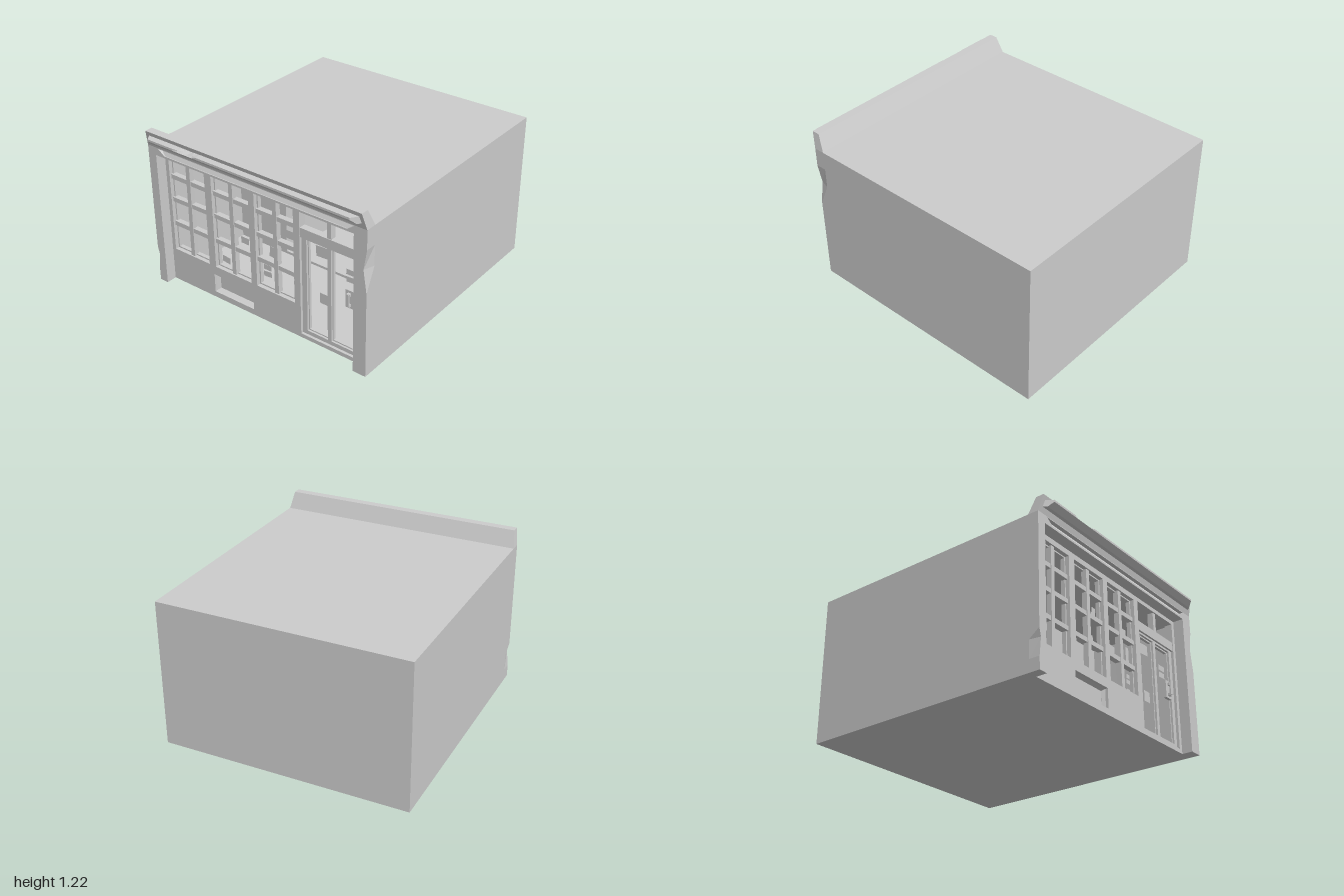
import * as THREE from 'three';

export function createModel() {
  const model = new THREE.Group();
  const mat = new THREE.MeshStandardMaterial({ color: 0xcccccc, flatShading: true });
  const thin = new THREE.MeshStandardMaterial({ color: 0xcccccc, flatShading: true, side: THREE.DoubleSide });

  const add = (name, geo, material = mat, parent = model) => {
    const mesh = new THREE.Mesh(geo, material);
    mesh.name = name;
    parent.add(mesh);
    return mesh;
  };
  const box = (name, x0, x1, y0, y1, z0, z1, parent = model) => {
    const mesh = add(name, new THREE.BoxGeometry(x1 - x0, y1 - y0, z1 - z0), mat, parent);
    mesh.position.set((x0 + x1) / 2, (y0 + y1) / 2, (z0 + z1) / 2);
    return mesh;
  };
  const poly = (pts) => pts.map(([x, y]) => new THREE.Vector2(x, y));
  const rect = (x0, x1, y0, y1) => poly([[x0, y0], [x1, y0], [x1, y1], [x0, y1]]);
  // flat plate between two depths, with holes
  const plate = (outline, holes, z0, z1) => {
    const shape = new THREE.Shape(outline);
    holes.forEach((h) => shape.holes.push(new THREE.Path(h)));
    return new THREE.ExtrudeGeometry(shape, { depth: z1 - z0, bevelEnabled: false }).translate(0, 0, z0);
  };
  // moves every vertex by a rule
  const warp = (geo, rule) => {
    const p = geo.attributes.position;
    const v = new THREE.Vector3();
    for (let i = 0; i < p.count; i++) {
      rule(v.fromBufferAttribute(p, i));
      p.setXYZ(i, v.x, v.y, v.z);
    }
    geo.computeVertexNormals();
    return geo;
  };
  // box with its front face left out
  const openBox = (x0, x1, y0, y1, z0, z1) => {
    const g = new THREE.BoxGeometry(x1 - x0, y1 - y0, z1 - z0);
    g.translate((x0 + x1) / 2, (y0 + y1) / 2, (z0 + z1) / 2);
    const idx = Array.from(g.index.array);
    idx.splice(24, 6);
    g.setIndex(idx);
    g.clearGroups();
    return g;
  };
  // (z, y) profile swept along x, unit half width
  const sweepX = (pts, steps = 1) =>
    new THREE.ExtrudeGeometry(new THREE.Shape(poly(pts)), { depth: 2, steps, bevelEnabled: false })
      .translate(0, 0, -1).rotateY(-Math.PI / 2);

  // Building shell and the room behind the shop front
  add('buildingBody', openBox(-0.92, 0.92, 0, 1.1, -1, 0.85), thin);
  const room = new THREE.Group();
  room.name = 'room';
  model.add(room);
  const zb = 0.12;
  const roomGeo = openBox(-0.84, 0.84, 0.01, 1.03, zb, 0.79);
  const idx = Array.from(roomGeo.index.array);
  idx.splice(24, 6);
  roomGeo.setIndex(idx);
  add('roomWalls', roomGeo, thin, room);
  add('roomBackWall', plate(rect(-0.84, 0.84, 0.01, 1.03), [rect(-0.4, 0.32, 0.03, 0.97)], zb - 0.01, zb), mat, room);
  add('backAlcove', warp(openBox(-0.4, 0.32, 0.03, 0.97, -0.4, zb - 0.01), (v) => {
    if (v.z > -0.3) return;
    v.x += v.x < 0 ? 0.06 : -0.03;
    if (v.y > 0.5) v.y -= 0.06;
  }), thin, room);

  // Outer surround: pilasters and fascia, chipped at both outer edges
  const outline = poly([
    [-0.92, 0], [-0.85, 0], [-0.85, 1.04], [0.82, 1.04], [0.82, 0], [0.92, 0],
    [0.92, 0.64], [0.895, 0.81], [0.92, 0.96], [0.92, 1.1],
    [-0.92, 1.1], [-0.92, 0.28], [-0.905, 0.22], [-0.92, 0.09],
  ]);
  const groove = poly([[-0.77, 1.055], [0.77, 1.055], [0.825, 1.095], [-0.825, 1.095]]);
  add('surround', warp(plate(outline, [groove], 0.85, 0.93), (v) => {
    if (v.z < 0.9 && Math.abs(v.x) > 0.86) v.x = Math.sign(v.x) * 0.92;
  }));
  add('fasciaGrooveBack', warp(new THREE.BoxGeometry(1.66, 0.044, 0.04).translate(0, 1.075, 0.88), (v) => {
    if (v.z > 0.88 && v.y < 1.07) v.z += 0.025;
  }));

  // Parapet and projecting cornice lip
  add('parapet', warp(sweepX([[0.85, 1.1], [0.93, 1.1], [0.96, 1.22], [0.9, 1.22]]), (v) => {
    v.x *= v.y > 1.15 ? 0.9 : 0.92;
  }));
  add('corniceLip', warp(sweepX([[0.935, 1.14], [0.965, 1.14], [1, 1.175], [1, 1.19], [0.945, 1.19]], 38), (v) => {
    const side = v.x;
    v.x *= 0.87 - (v.z - 0.96) * 0.75;
    const chip = Math.max(0, 1 - Math.abs(v.x + 0.5) / 0.1);
    if (Math.abs(side) < 0.99 && v.z > 0.99 && v.y > 1.18) {
      v.z -= 0.035 * chip;
      v.y -= 0.01 * chip;
    }
  }));

  // Shop front wall with window, door and panel openings
  const windows = [[-0.82, -0.49], [-0.43, -0.1], [-0.05, 0.28]];
  const front = 0.85;
  add('shopFront', plate(rect(-0.85, 0.82, 0, 1.04), [
    ...windows.map(([a, b]) => rect(a, b, 0.26, 1.0)),
    rect(0.33, 0.79, 0.03, 1.01),
    rect(-0.45, -0.09, 0.045, 0.19),
  ], 0.79, front));

  // Slightly crooked glazing bars and a bevelled rim in each window
  windows.forEach(([a, b], w) => {
    const g = new THREE.Group();
    g.name = 'window' + (w + 1);
    model.add(g);
    const mid = (a + b) / 2;
    box('mullion', mid - 0.017, mid + 0.017, 0.26, 1.0, 0.8, 0.84, g).rotation.z = 0.008 * (w - 1);
    [0.47, 0.665, 0.845].forEach((y, i) => {
      box('glazingBar', a, b, y - 0.017, y + 0.017, 0.795, 0.835, g).rotation.z = 0.012 * Math.sin(w * 2.3 + i * 1.9);
    });
    add('windowRim', plate(rect(a, b, 0.26, 1.0), [rect(a + 0.01, b - 0.01, 0.27, 0.99)], 0.79, 0.82), mat, g);
  });

  // Sunken panel under the middle window
  box('panelBack', -0.45, -0.09, 0.045, 0.19, 0.79, 0.805);
  add('panelRim', warp(plate(rect(-0.45, -0.09, 0.045, 0.19), [rect(-0.435, -0.105, 0.058, 0.177)], 0.8, 0.83), (v) => {
    if (v.x > -0.44 && v.x < -0.1) v.z = Math.min(v.z, 0.806);
  }));

  // Door with two long lights, transom window above and a pull handle
  const door = new THREE.Group();
  door.name = 'door';
  model.add(door);
  add('doorLeaf', plate(rect(0.33, 0.79, 0.03, 0.79), [
    rect(0.37, 0.54, 0.06, 0.775), rect(0.57, 0.755, 0.06, 0.775),
  ], 0.795, 0.83), mat, door);
  add('doorLightRims', plate(rect(0.37, 0.755, 0.06, 0.775), [
    rect(0.378, 0.532, 0.068, 0.765), rect(0.578, 0.747, 0.068, 0.765),
  ], 0.795, 0.815), mat, door);
  box('transomBar', 0.33, 0.79, 0.79, 0.86, 0.795, 0.845, door);
  box('transomMullion', 0.547, 0.58, 0.86, 1.01, 0.795, 0.84, door);
  box('handlePlate', 0.685, 0.752, 0.395, 0.53, 0.81, 0.832, door);
  box('handleGrip', 0.71, 0.728, 0.42, 0.51, 0.845, 0.855, door);
  [0.42, 0.5].forEach((y) => box('handlePost', 0.708, 0.73, y - 0.008, y + 0.012, 0.83, 0.85, door));

  // Paper notices stuck inside the glass: x, y, width, height, tilt
  [
    [0.47, 0.7, 0.1, 0.08, 0.06], [0.7, 0.635, 0.075, 0.04, 0], [0.7, 0.58, 0.07, 0.04, 0.04],
    [0.485, 0.34, 0.07, 0.08, 0], [0.21, 0.73, 0.07, 0.06, 0], [-0.145, 0.735, 0.045, 0.085, -0.08],
    [-0.195, 0.535, 0.07, 0.05, 0], [0.06, 0.535, 0.07, 0.08, -0.12], [0, 0.395, 0.065, 0.04, 0],
    [0, 0.342, 0.07, 0.04, 0.1], [-0.38, 0.31, 0.07, 0.05, -0.1], [0.25, 0.41, 0.04, 0.03, 0],
    [0.25, 0.37, 0.04, 0.03, 0], [0.25, 0.3, 0.04, 0.03, 0.05], [0.255, 0.56, 0.04, 0.14, 0],
  ].forEach(([x, y, w, h, tilt]) => {
    const n = add('notice', new THREE.PlaneGeometry(w, h), thin);
    n.position.set(x, y, 0.793);
    n.rotation.z = tilt;
  });

  return model;
}
